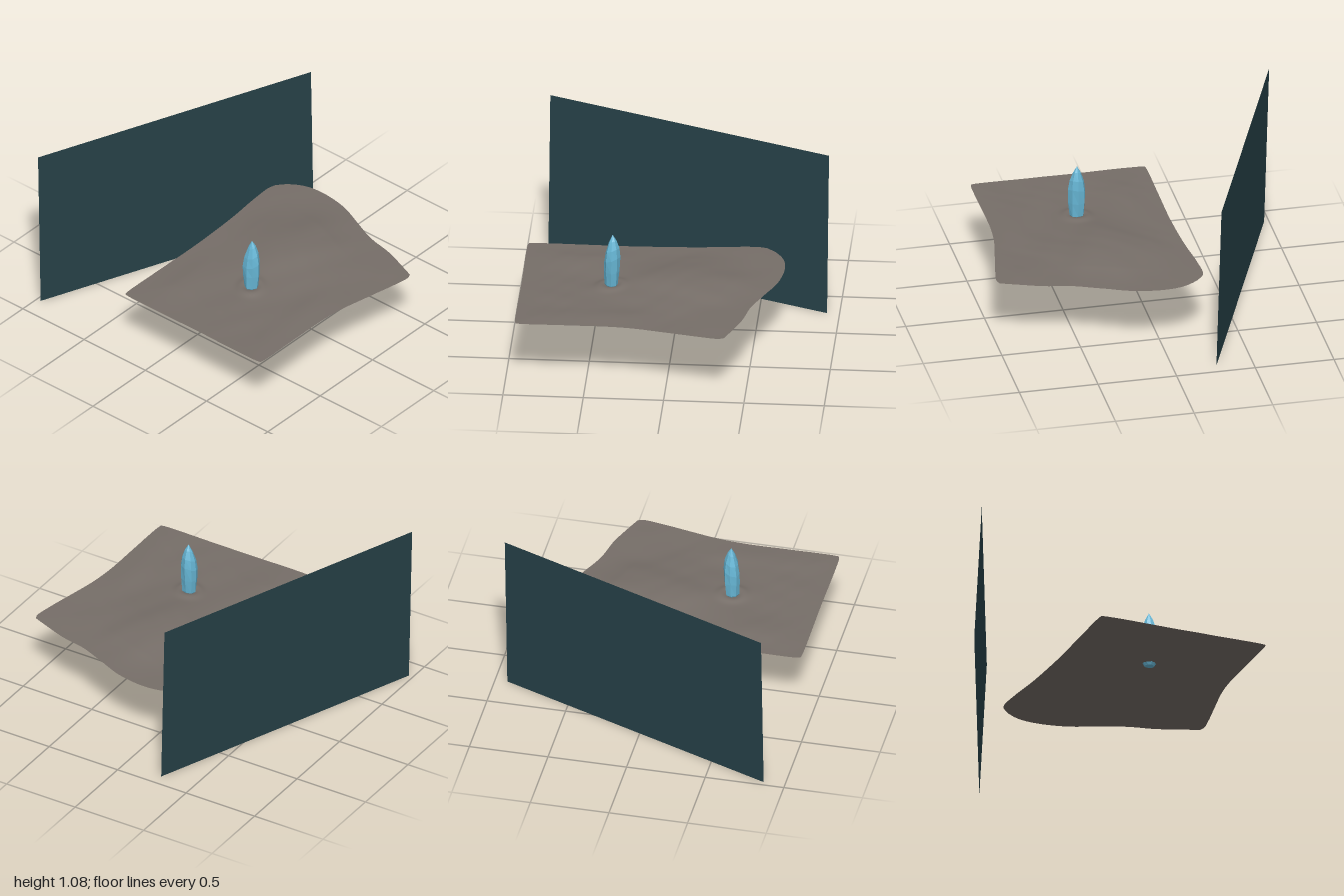
import * as THREE from 'three';

const material = (name, color, extra = {}) => new THREE.MeshStandardMaterial({ name, color, ...extra });

const curve = (points) =>
  new THREE.CatmullRomCurve3(points.map(([x, z]) => new THREE.Vector3(x, 0, z)), false, 'centripetal');

// Soft mound centred on (cx, cz)
const mound = (x, z, cx, cz, rx, rz, h) =>
  h * Math.exp(-(((x - cx) / rx) ** 2) - ((z - cz) / rz) ** 2);

// Terrain height above the base level
function relief(x, z) {
  const ring = Math.hypot(x + 0.375, z - 0.33);
  const ripple =
    Math.sin(5 * x + 13 * z + 2 * Math.sin(4 * x)) * 0.5 +
    Math.sin(11 * x - 17 * z + 1.5 * Math.sin(7 * z)) * 0.3 +
    Math.sin(23 * x + 29 * z + 2 * Math.sin(9 * x)) * 0.12;
  return (
    mound(x, z, 0.08, 0.25, 0.36, 0.26, 0.045) +
    mound(x, z, -0.5, 0.78, 0.3, 0.12, 0.012) +
    mound(x, z, -0.65, 0.0, 0.25, 0.15, 0.01) +
    0.014 * Math.exp(-(((ring - 0.07) / 0.03) ** 2)) * (0.6 + 0.4 * Math.sin(9 * x + 15 * z)) +
    0.004 * (ripple + 0.5)
  );
}

// Ground sheet stretched between four border curves
function groundGeometry() {
  const north = curve([[-0.93, -0.225], [-0.9, -0.23], [-0.55, -0.23], [-0.2, -0.23], [0.1, -0.245], [0.35, -0.27], [0.5, -0.277], [0.55, -0.265]]);
  const south = curve([[-0.93, 0.88], [-0.9, 0.885], [-0.6, 0.885], [-0.35, 0.885], [-0.18, 0.9], [0.05, 0.945], [0.22, 0.98], [0.34, 0.997], [0.375, 0.985]]);
  const west = curve([[-0.93, -0.225], [-0.935, -0.2], [-0.935, 0.33], [-0.935, 0.86], [-0.93, 0.88]]);
  const east = curve([[0.55, -0.265], [0.61, -0.21], [0.665, -0.11], [0.68, 0.02], [0.65, 0.21], [0.58, 0.38], [0.51, 0.55], [0.47, 0.73], [0.42, 0.87], [0.375, 0.985]]);
  const geometry = new THREE.PlaneGeometry(1, 1, 90, 70);
  const { position, uv } = geometry.attributes;
  const [nw, ne, sw, se] = [north.getPoint(0), north.getPoint(1), south.getPoint(0), south.getPoint(1)];
  for (let i = 0; i < position.count; i++) {
    const u = uv.getX(i);
    const v = 1 - uv.getY(i);
    const p = north.getPointAt(u).multiplyScalar(1 - v)
      .addScaledVector(south.getPointAt(u), v)
      .addScaledVector(west.getPointAt(v), 1 - u)
      .addScaledVector(east.getPointAt(v), u)
      .addScaledVector(nw, -(1 - u) * (1 - v))
      .addScaledVector(ne, -u * (1 - v))
      .addScaledVector(sw, -(1 - u) * v)
      .addScaledVector(se, -u * v);
    const fade = Math.min(1, 6 * Math.min(u, 1 - u, v, 1 - v));
    position.setXYZ(i, p.x, 0.439 + relief(p.x, p.z) * (0.2 + 0.8 * fade), p.z);
  }
  geometry.computeVertexNormals();
  return geometry;
}

// Faceted pointed crystal, slightly irregular around its axis
function crystalGeometry() {
  const profile = [[0, 0], [0.03, 0.004], [0.045, 0.03], [0.053, 0.12], [0.055, 0.2], [0.046, 0.265], [0.025, 0.325], [0, 0.37]];
  const geometry = new THREE.LatheGeometry(profile.map(([r, y]) => new THREE.Vector2(r, y)), 8);
  const position = geometry.attributes.position;
  for (let i = 0; i < position.count; i++) {
    const x = position.getX(i);
    const y = position.getY(i);
    const z = position.getZ(i);
    const angle = Math.atan2(x, z);
    const r = Math.hypot(x, z);
    const swell = 1 + 0.06 * Math.sin(3 * angle + 11 * y);
    const lift = r * 0.35 * Math.sin(angle + 0.5) * (y > 0.15 ? 1 : 0);
    position.setXYZ(i, x * swell * 0.92 + y * 0.02, y + lift, z * swell);
  }
  geometry.computeVertexNormals();
  return geometry;
}

// Slightly leaning backdrop panel from its four corners
function panelGeometry() {
  const geometry = new THREE.PlaneGeometry(1, 1);
  const { position, uv } = geometry.attributes;
  for (let i = 0; i < position.count; i++) {
    const u = uv.getX(i);
    const v = uv.getY(i);
    position.setXYZ(i, -0.865 + 1.787 * u + 0.01 * v, 1.08 * v, -0.97 + 0.7 * u - 0.03 * v);
  }
  geometry.computeVertexNormals();
  return geometry;
}

export function createModel() {
  const model = new THREE.Group();
  model.name = 'crystalScene';
  const add = (name, geometry, mat) => {
    const mesh = new THREE.Mesh(geometry, mat);
    mesh.name = name;
    model.add(mesh);
    return mesh;
  };

  add('ground', groundGeometry(), material('stone', 0x766e68, { side: THREE.DoubleSide }));
  add('backdropPanel', panelGeometry(), material('darkTeal', 0x264047, { side: THREE.DoubleSide }));
  add('crystal', crystalGeometry(), material('iceBlue', 0x67b7d6, { flatShading: true }))
    .position.set(-0.375, 0.43, 0.33);

  return model;
}
